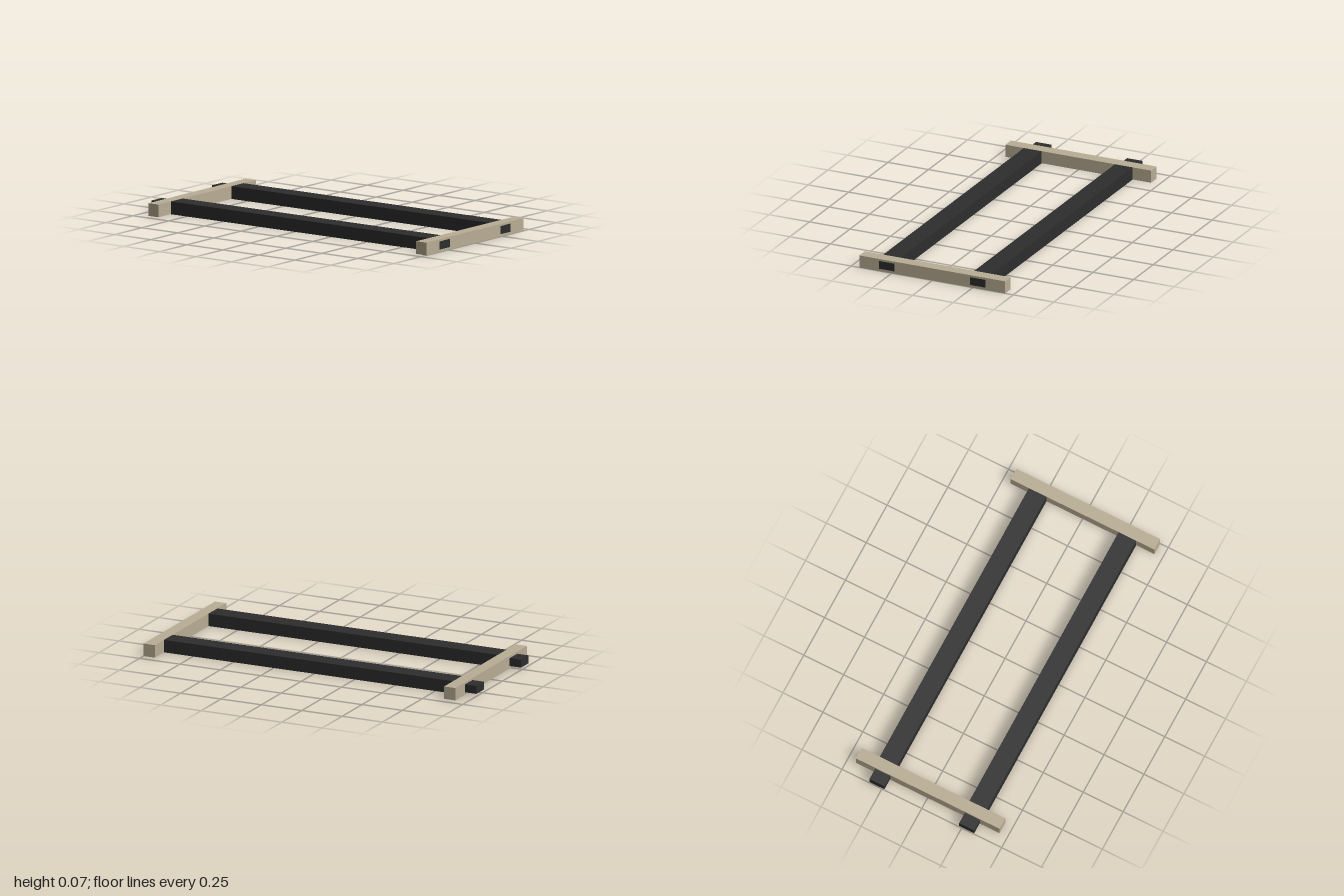
import * as THREE from 'three';

const paleWood = new THREE.MeshStandardMaterial({ name: 'paleWood', color: 0xb9ad94 });
const darkRail = new THREE.MeshStandardMaterial({ name: 'darkRail', color: 0x2d2d2d });

// Box given by its [min, max] range on each axis
function block(name, material, [x0, x1], [y0, y1], [z0, z1]) {
  const mesh = new THREE.Mesh(new THREE.BoxGeometry(x1 - x0, y1 - y0, z1 - z0), material);
  mesh.position.set((x0 + x1) / 2, (y0 + y1) / 2, (z0 + z1) / 2);
  mesh.name = name;
  return mesh;
}

export function createModel() {
  const group = new THREE.Group();
  group.name = 'frame';
  const height = 0.072;

  // Crossbars at both ends
  group.add(block('frontCrossbar', paleWood, [-0.45, 0.45], [0, height], [0.93, 1]));
  group.add(block('backCrossbar', paleWood, [-0.45, 0.45], [0, height], [-0.93, -0.86]));

  // Long rails, with a flush tenon in front and a protruding one behind
  for (const [side, s] of [['left', 1], ['right', -1]]) {
    const span = (half) => [s * 0.281 - half, s * 0.281 + half];
    group.add(block(side + 'Rail', darkRail, span(0.055), [0, height], [-0.86, 0.93]));
    group.add(block(side + 'FrontTenon', darkRail, span(0.047), [0.014, 0.06], [0.93, 1.001]));
    group.add(block(side + 'BackTenon', darkRail, span(0.047), [0.014, 0.06], [-1, -0.86]));
  }
  return group;
}
